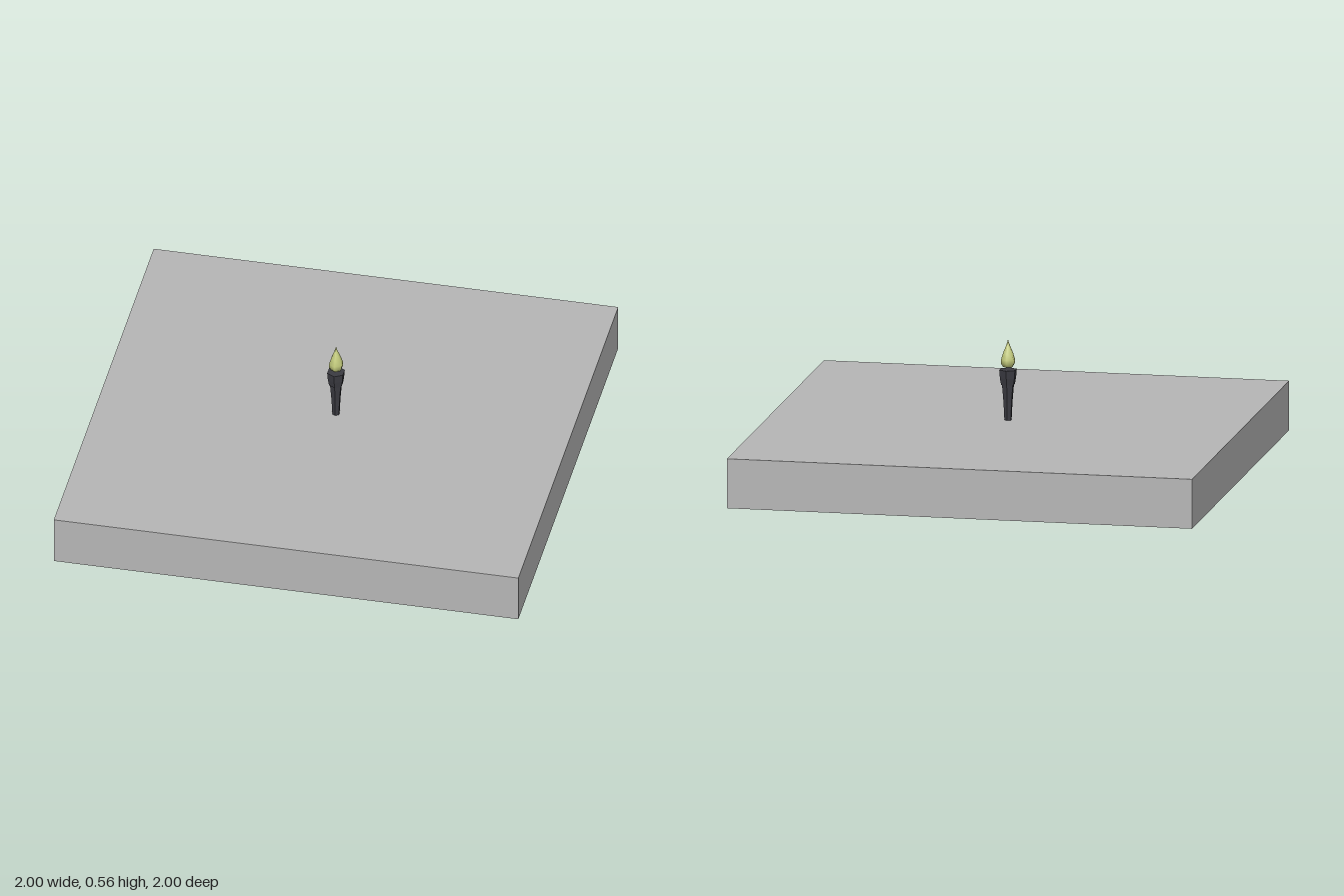
import * as THREE from 'three';

export function createModel() {
  const model = new THREE.Group();
  const material = (name, color, flatShading = false) => {
    const m = new THREE.MeshStandardMaterial({ color, flatShading });
    m.name = name;
    return m;
  };
  const stone = material('grey stone', 0xb6b6b6);
  const iron = material('dark iron', 0x3b3b42, true);
  const fire = material('pale yellow flame', 0xc3cb7c);

  const add = (name, geometry, mat, y = 0) => {
    const mesh = new THREE.Mesh(geometry, mat);
    mesh.name = name;
    mesh.position.y = y;
    model.add(mesh);
  };
  // Six-sided turned part from [radius, height] pairs, bottom to top
  const turned = (points) =>
    new THREE.LatheGeometry(points.map(([r, y]) => new THREE.Vector2(r, y)), 6);

  // Square base slab
  add('baseSlab', new THREE.BoxGeometry(2, 0.213, 2), stone, 0.1065);

  // Tapered handle standing on the slab
  add('torchHandle', turned([[0, 0.212], [0.016, 0.212], [0.020, 0.29], [0.027, 0.37]]), iron);

  // Flared head with a solid top
  add('torchHead', turned([[0, 0.366], [0.031, 0.366], [0.036, 0.395], [0.039, 0.43], [0, 0.43]]), iron);

  // Teardrop flame hovering above the head
  add('flame', turned([
    [0, 0.442], [0.022, 0.442], [0.031, 0.457], [0.031, 0.474],
    [0.022, 0.502], [0.010, 0.530], [0.004, 0.545], [0, 0.56],
  ]), fire);

  return model;
}
